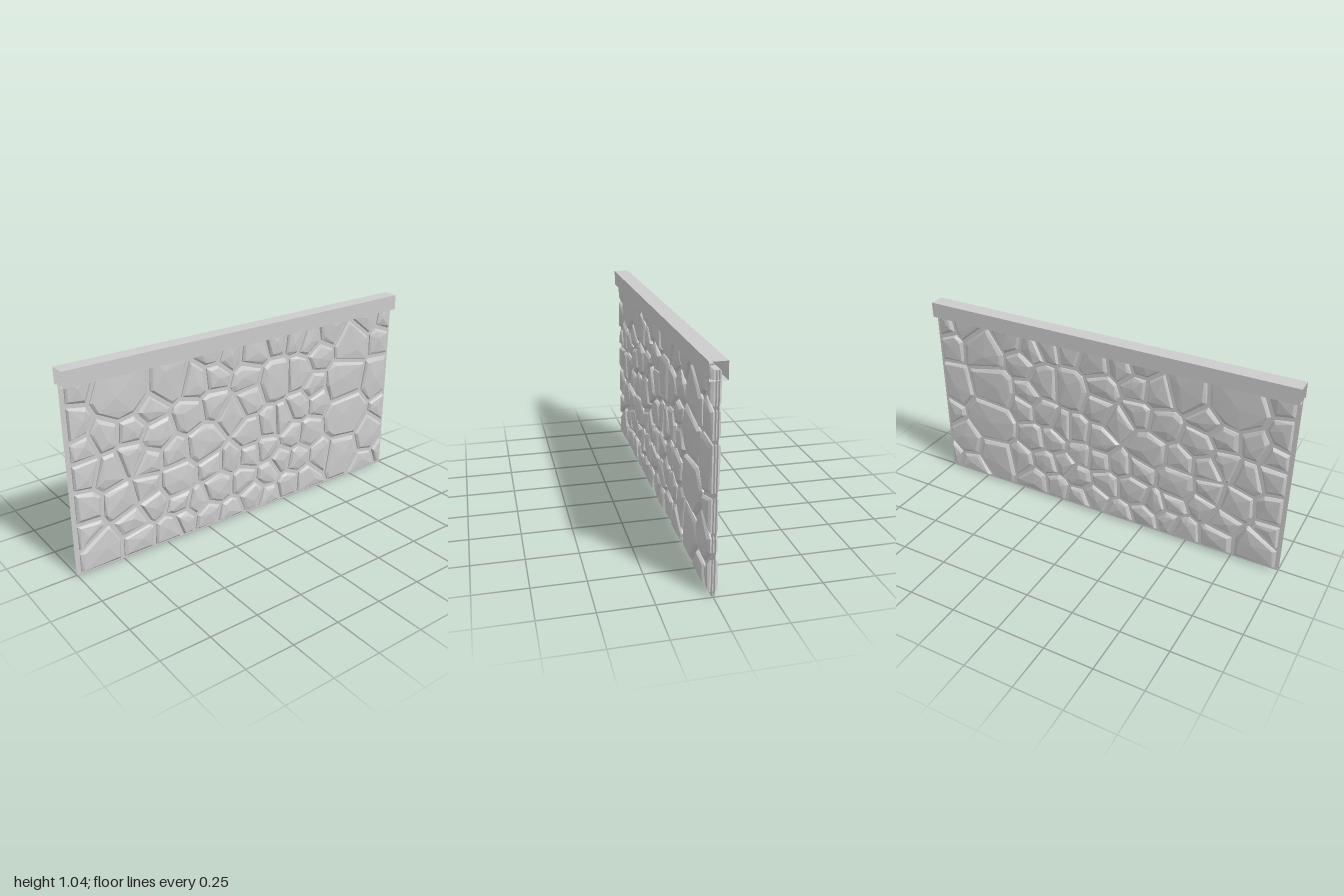
import * as THREE from 'three';
import { ConvexGeometry } from 'three/addons/geometries/ConvexGeometry.js';

// Largest stones: z, y, radius
const LARGE = [
  [0.71, 0.88, 0.14], [0.48, 0.87, 0.09], [-0.18, 0.72, 0.09], [-0.33, 0.72, 0.08], [-0.71, 0.8, 0.11],
  [-0.67, 0.61, 0.13], [-0.69, 0.39, 0.14], [-0.91, 0.57, 0.1], [-0.67, 0.17, 0.11], [-0.88, 0.23, 0.1],
  [0.43, 0.34, 0.09], [0.27, 0.49, 0.09], [0.19, 0.22, 0.08], [0.87, 0.09, 0.1],
];

let seed = 7;
const rand = () => (seed = (seed * 16807) % 2147483647) / 2147483647;

// Small stones fill the rest in loose, staggered courses
function layStones() {
  const stones = [...LARGE];
  const rows = 7, columns = 15;
  for (let row = 0; row < rows; row++) {
    for (let col = 0; col < columns; col++) {
      const stagger = row % 2 ? 0.2 : -0.2;
      const z = -1 + 2 * (col + 0.5 + stagger + 0.6 * (rand() - 0.5)) / columns;
      const y = (row + 0.5 + 0.6 * (rand() - 0.5)) / rows;
      if (LARGE.every(([lz, ly, r]) => Math.hypot(z - lz, y - ly) > r + 0.035)) stones.push([z, y, 0.065]);
    }
  }
  return stones;
}

// Keep the part of a convex polygon where p . n <= d
function clip(poly, nx, ny, d) {
  const out = [];
  poly.forEach((a, i) => {
    const b = poly[(i + 1) % poly.length];
    const da = a[0] * nx + a[1] * ny - d;
    const db = b[0] * nx + b[1] * ny - d;
    if (da <= 0) out.push(a);
    if (da * db < 0) {
      const t = da / (da - db);
      out.push([a[0] + (b[0] - a[0]) * t, a[1] + (b[1] - a[1]) * t]);
    }
  });
  return out;
}

// Outline of one stone: its cell among the neighbours, pulled back by half a mortar joint
function outline(stone, all, joint) {
  const [z, y, r] = stone;
  let poly = [[-0.98, 0.015], [0.98, 0.015], [0.98, 1], [-0.98, 1]];
  for (const other of all) {
    if (other === stone) continue;
    const dz = other[0] - z, dy = other[1] - y;
    const len = Math.hypot(dz, dy);
    const reach = (len * len + r * r - other[2] * other[2]) / (2 * len);
    poly = clip(poly, dz / len, dy / len, (z * dz + y * dy) / len + reach - joint);
  }
  return poly;
}

// A chipped convex block, equally thick on both sides of the wall
function stoneGeometry(poly) {
  const cz = poly.reduce((s, p) => s + p[0], 0) / poly.length;
  const cy = poly.reduce((s, p) => s + p[1], 0) / poly.length;
  const points = [];
  for (const side of [1, -1]) {
    for (const [z, y] of poly) {
      const inset = Math.max(0.5, 1 - (0.008 + 0.016 * rand()) / Math.hypot(z - cz, y - cy));
      points.push(new THREE.Vector3(side * 0.013, y, z));
      points.push(new THREE.Vector3(side * (0.02 + 0.006 * rand()), cy + (y - cy) * inset, cz + (z - cz) * inset));
    }
    // Off-centre crown that breaks the face into facets
    const [pz, py] = poly[Math.floor(rand() * poly.length)];
    const k = 0.35 * rand();
    points.push(new THREE.Vector3(side * 0.029, cy + (py - cy) * k, cz + (pz - cz) * k));
  }
  return new ConvexGeometry(points);
}

export function createModel() {
  seed = 7;
  const wall = new THREE.Group();
  wall.name = 'stoneWall';
  const stoneMat = new THREE.MeshStandardMaterial({ color: 0xcccccc, flatShading: true });
  const sheetMat = new THREE.MeshStandardMaterial({ color: 0xcccccc, flatShading: true, side: THREE.DoubleSide });

  // Mortar: two thin faces, open at the ends
  for (const side of [1, -1]) {
    const mortar = new THREE.Mesh(new THREE.PlaneGeometry(2, 1), sheetMat);
    mortar.name = side > 0 ? 'mortarLeft' : 'mortarRight';
    mortar.rotation.y = side * Math.PI / 2;
    mortar.position.set(side * 0.006, 0.5, 0);
    wall.add(mortar);
  }

  // Coping: a square sleeve with open ends
  const radius = 0.04 * Math.SQRT2;
  const coping = new THREE.Mesh(new THREE.CylinderGeometry(radius, radius, 2, 4, 1, true, Math.PI / 4), sheetMat);
  coping.name = 'coping';
  coping.rotation.x = Math.PI / 2;
  coping.position.y = 1;
  wall.add(coping);

  // Stones pass right through the mortar
  const stones = new THREE.Group();
  stones.name = 'stones';
  const layout = layStones();
  for (const entry of layout) {
    const poly = outline(entry, layout, 0.011);
    if (poly.length < 3) continue;
    const stone = new THREE.Mesh(stoneGeometry(poly), stoneMat);
    stone.name = 'stone';
    stones.add(stone);
  }
  wall.add(stones);
  return wall;
}
